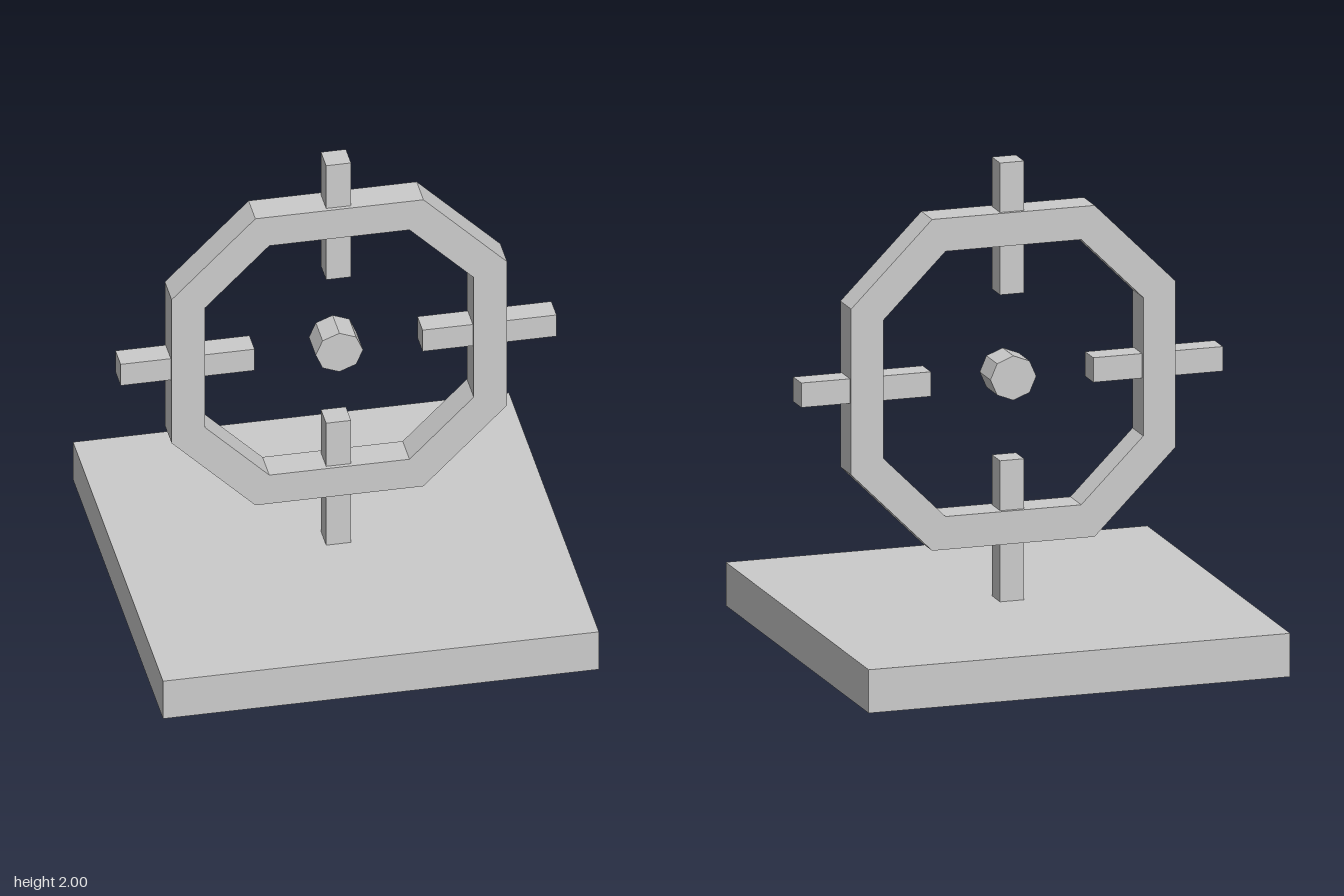
import * as THREE from 'three';

const CENTER_Y = 1.108;
const DEPTH = 0.135;

export function createModel() {
  const group = new THREE.Group();
  const material = new THREE.MeshStandardMaterial({ color: 0xcccccc, flatShading: true });

  const add = (name, geometry, x, y) => {
    const mesh = new THREE.Mesh(geometry, material);
    mesh.name = name;
    mesh.position.set(x, y, 0);
    group.add(mesh);
    return mesh;
  };

  // Octagon with straight sides at distance r and corners at offset c
  const octagon = (r, c) => [
    [r, -c], [r, c], [c, r], [-c, r], [-r, c], [-r, -c], [-c, -r], [c, -r],
  ].map(([x, y]) => new THREE.Vector2(x, y));

  // Square base slab
  add('base', new THREE.BoxGeometry(1.785, 0.18, 1.785), 0, 0.09);

  // Octagonal ring
  const shape = new THREE.Shape(octagon(0.687, 0.344));
  shape.holes.push(new THREE.Path(octagon(0.55, 0.287).reverse()));
  const ring = new THREE.ExtrudeGeometry(shape, { depth: DEPTH, bevelEnabled: false });
  ring.translate(0, 0, -DEPTH / 2);
  add('ring', ring, 0, CENTER_Y);

  // Four bars crossing the ring; the lower one stands on the base
  const bar = (name, x0, x1, y0, y1) =>
    add(name, new THREE.BoxGeometry(x1 - x0, y1 - y0, 0.102), (x0 + x1) / 2, (y0 + y1) / 2);
  const w = 0.051;
  bar('topBar', -w, w, 1.453, 2);
  bar('bottomBar', -w, w, 0.18, 0.765);
  bar('leftBar', 0.344, 0.8925, CENTER_Y - w, CENTER_Y + w);
  bar('rightBar', -0.8925, -0.344, CENTER_Y - w, CENTER_Y + w);

  // Floating eight-sided centre stud
  const stud = new THREE.CylinderGeometry(0.097, 0.097, DEPTH, 8);
  stud.rotateX(Math.PI / 2);
  stud.scale(1, 0.95, 1);
  add('centreStud', stud, 0, CENTER_Y);

  return group;
}
